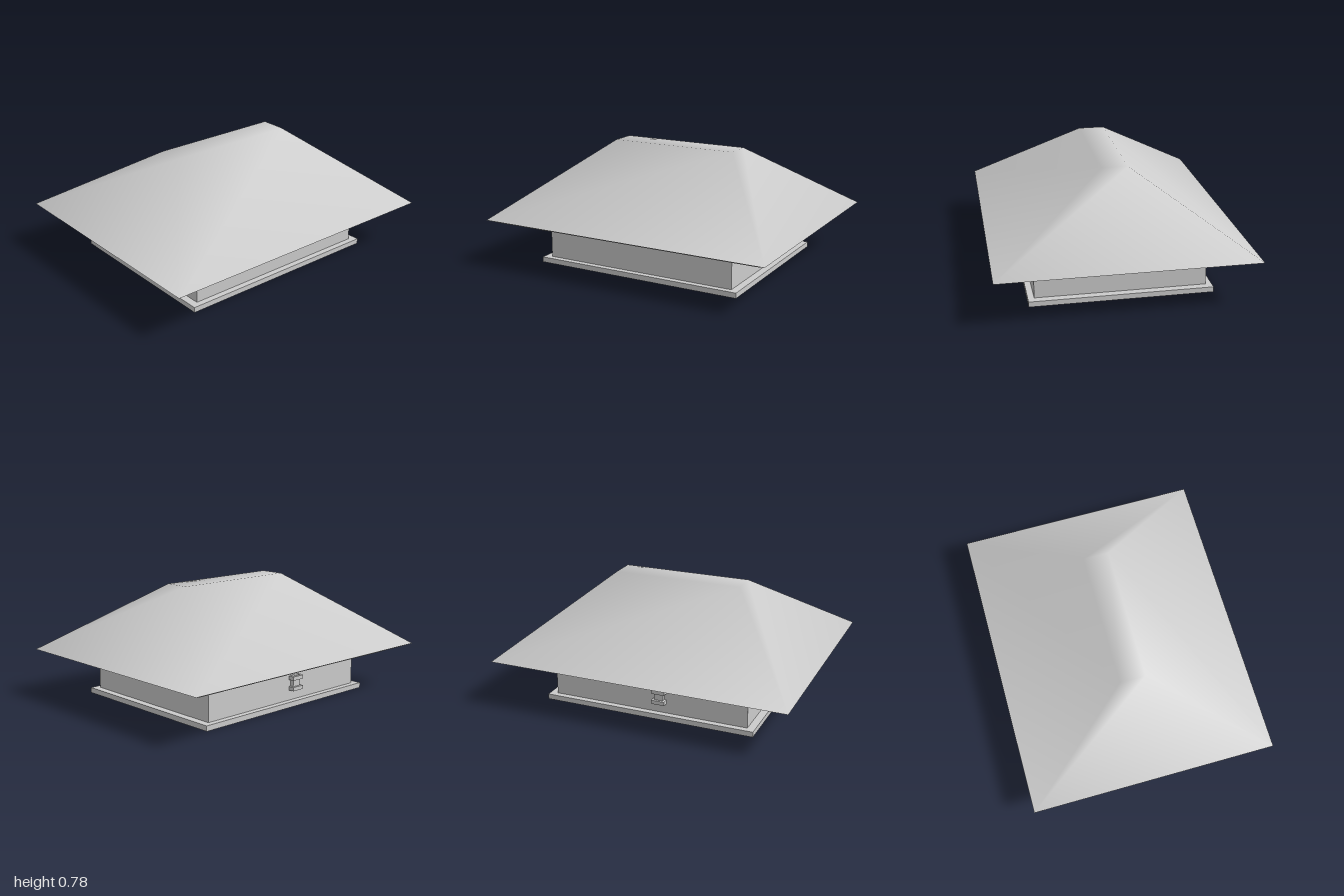
import * as THREE from 'three';

const material = new THREE.MeshStandardMaterial({ color: 0xcccccc });
const flatMaterial = new THREE.MeshStandardMaterial({ color: 0xcccccc, flatShading: true });

// Rectangular rings [halfX, halfZ, y] joined from bottom to top, with optional caps
function rectLoft(rings, { bottom = false, top = false } = {}) {
  const positions = [], index = [];
  for (const [x, z, y] of rings) positions.push(x, y, z, x, y, -z, -x, y, -z, -x, y, z);
  for (let r = 0; r < rings.length - 1; r++) {
    for (let i = 0; i < 4; i++) {
      const j = (i + 1) % 4, a = r * 4, b = a + 4;
      index.push(a + i, a + j, b + j, a + i, b + j, b + i);
    }
  }
  const t = (rings.length - 1) * 4;
  if (top) index.push(t, t + 1, t + 2, t, t + 2, t + 3);
  if (bottom) index.push(0, 2, 1, 0, 3, 2);
  const geometry = new THREE.BufferGeometry();
  geometry.setAttribute('position', new THREE.Float32BufferAttribute(positions, 3));
  geometry.setIndex(index);
  geometry.computeVertexNormals();
  return geometry;
}

export function createModel() {
  const model = new THREE.Group();
  model.name = 'hippedRoofVent';

  const add = (parent, name, geometry, mat = flatMaterial) => {
    const mesh = new THREE.Mesh(geometry, mat);
    mesh.name = name;
    parent.add(mesh);
    return mesh;
  };
  const box = (parent, name, w, h, d, x, y, z) =>
    add(parent, name, new THREE.BoxGeometry(w, h, d)).position.set(x, y, z);

  // Base slab and the walls standing on it
  box(model, 'baseSlab', 1.44, 0.035, 1.18, 0, 0.0175, 0);
  box(model, 'walls', 1.34, 0.25, 1.1, 0, 0.158, 0);

  // Hipped roof with a narrow flat ridge, softly shaded across the hips
  add(model, 'roof', rectLoft([[1, 0.816, 0.31], [0.44, 0.085, 0.78]], { top: true }), material);

  // Chamfered eave and flat soffit
  add(model, 'eave', rectLoft([[0.92, 0.75, 0.282], [1, 0.816, 0.31]], { bottom: true }));

  // Small latch on the back wall: upright plate with two prongs
  const latch = new THREE.Group();
  latch.name = 'latch';
  latch.position.set(-0.08, 0.15, -0.55);
  model.add(latch);
  box(latch, 'latchPlate', 0.06, 0.1, 0.03, 0, 0, -0.01);
  for (const s of [-1, 1]) box(latch, 'latchProng', 0.09, 0.025, 0.045, 0, s * 0.035, -0.018);

  return model;
}
